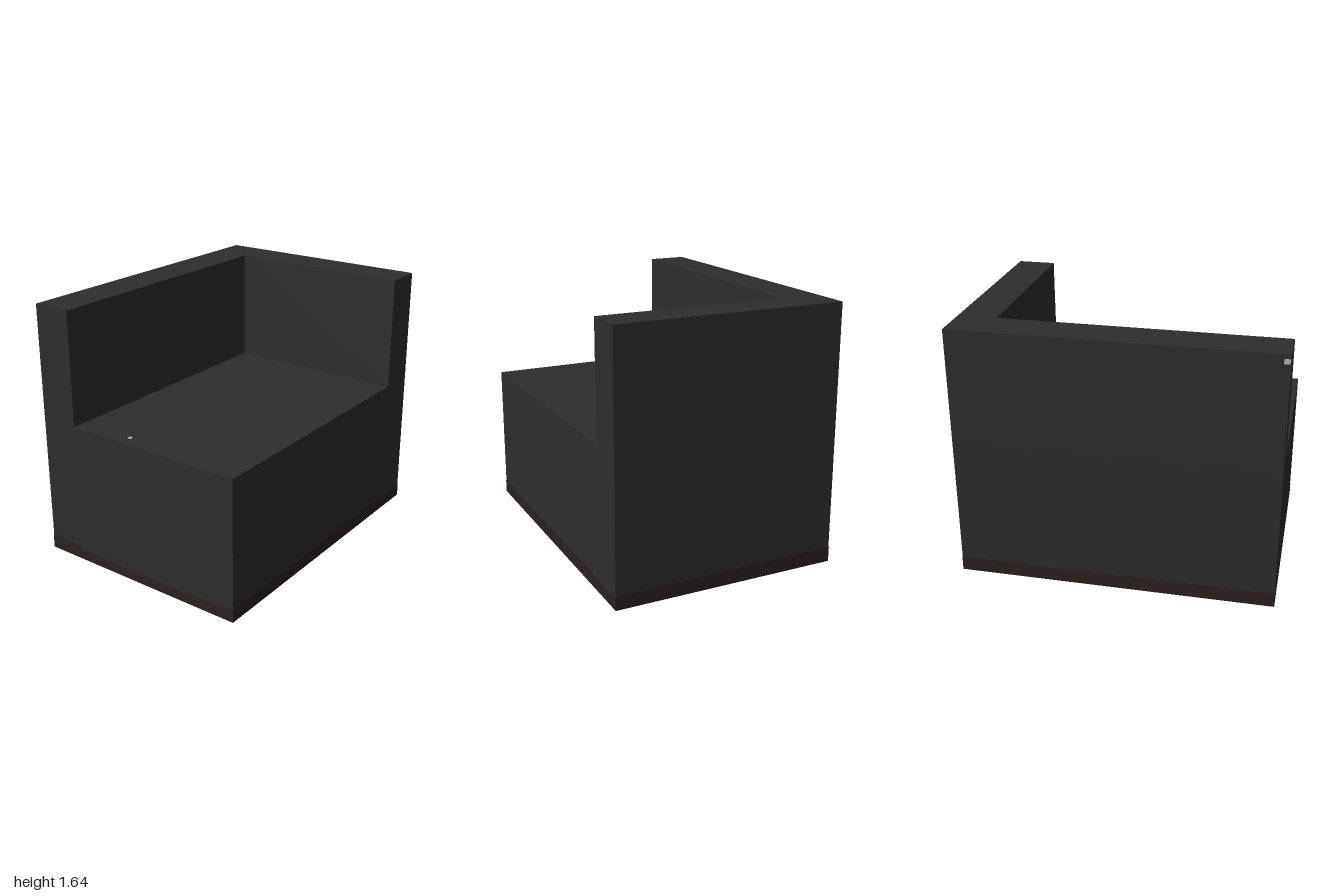
import * as THREE from 'three';

const W = 0.725, D = 1, H = 1.64, SEAT = 0.91, ARM_X = -0.47, BACK_Z = -0.755, GAP = 0.002;

const mat = (name, color) => {
  const m = new THREE.MeshStandardMaterial({ color });
  m.name = name;
  return m;
};

function polygon(points) {
  return new THREE.Shape(points.map(([x, y]) => new THREE.Vector2(x, y)));
}

export function createModel() {
  const group = new THREE.Group();
  const fabric = mat('charcoal fabric', 0x2d2d2d);
  const trim = mat('dark brown trim', 0x2c2020);
  const fleck = mat('pale grey fleck', 0xb8b8b8);

  const add = (name, geometry, material) => {
    const mesh = new THREE.Mesh(geometry, material);
    mesh.name = name;
    group.add(mesh);
    return mesh;
  };

  // Seat block, inset by a hair so the trim lies over it
  const w = W - GAP, d = D - GAP;
  const seat = add('seat', new THREE.BoxGeometry(2 * w, SEAT - GAP, 2 * d), fabric);
  seat.position.y = (SEAT + GAP) / 2;

  // L-shaped wall: arm along -x, backrest along -z (shape y is -z)
  const wall = new THREE.ExtrudeGeometry(
    polygon([[-w, -d], [ARM_X, -d], [ARM_X, -BACK_Z], [w, -BACK_Z], [w, d], [-w, d]]),
    { depth: H - SEAT, bevelEnabled: false });
  wall.rotateX(-Math.PI / 2);
  add('armAndBackrest', wall, fabric).position.y = SEAT;

  // Trim around the foot, with an uneven upper edge: [position along side, height]
  const sides = [
    ['frontTrim', 0, W, D, [[-W, 0.097], [-0.65, 0.088], [-0.48, 0.092], [-0.45, 0.068], [-0.2, 0.063],
      [0, 0.063], [0.3, 0.069], [0.5, 0.069], [W, 0.082]]],
    ['sideTrim', Math.PI / 2, D, W, [[-D, 0.088], [-0.5, 0.081], [0, 0.086], [0.6, 0.088], [0.7, 0.078], [D, 0.077]]],
    ['backTrim', Math.PI, W, D, [[-W, 0.085], [W, 0.095]]],
    ['armSideTrim', -Math.PI / 2, D, W, [[-D, 0.095], [D, 0.092]]],
  ];
  for (const [name, turn, half, out, edge] of sides) {
    const g = new THREE.ShapeGeometry(polygon([[-half, 0], [half, 0], ...[...edge].reverse()]));
    g.translate(0, 0, out).rotateY(turn);
    add(name, g, trim);
  }

  // Narrow trim border on the underside
  const border = polygon([[-W, -D], [W, -D], [W, D], [-W, D]]);
  const b = 0.06;
  border.holes.push(polygon([[-W + b, -D + b], [-W + b, D - b], [W - b, D - b], [W - b, -D + b]]));
  add('undersideTrim', new THREE.ShapeGeometry(border).rotateX(Math.PI / 2), trim);

  // Small pale fleck on the seat and at the arm's outer front corner
  add('seatFleck', new THREE.BoxGeometry(0.024, 0.004, 0.024), fleck).position.set(-0.09, SEAT, 0.915);
  add('armFleck', new THREE.BoxGeometry(0.004, 0.03, 0.035), fleck).position.set(-W + GAP, 1.6, 0.975);

  // Broken pale seam running across the underside
  const a = new THREE.Vector3(-0.435, 0.001, 0.99), e = new THREE.Vector3(-0.71, 0.001, -0.72);
  for (const [t0, t1] of [[0, 0.2], [0.22, 0.34], [0.36, 0.54], [0.57, 0.68], [0.75, 0.85]]) {
    const p = a.clone().lerp(e, t0), q = a.clone().lerp(e, t1);
    const dash = add('undersideSeam', new THREE.BoxGeometry(0.012, 0.002, p.distanceTo(q)), fleck);
    dash.position.copy(p).lerp(q, 0.5);
    dash.rotation.y = Math.atan2(q.x - p.x, q.z - p.z);
  }
  return group;
}
